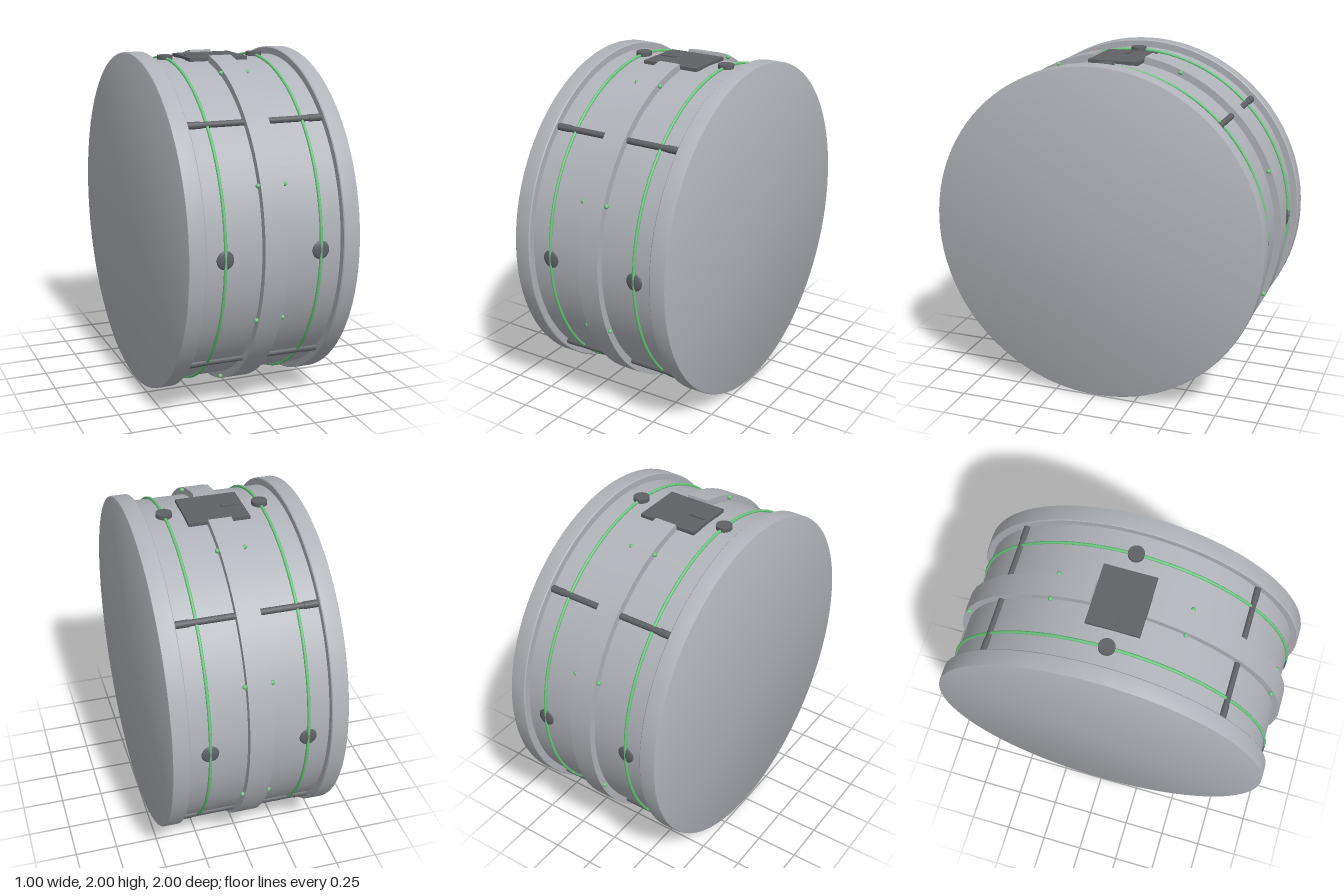
import * as THREE from 'three';
import { toCreasedNormals } from 'three/addons/utils/BufferGeometryUtils.js';

export function createModel() {
  const model = new THREE.Group();
  model.name = 'drumCase';
  const mat = (name, color) => {
    const m = new THREE.MeshStandardMaterial({ color });
    m.name = name;
    return m;
  };
  const grey = mat('shellGrey', 0xb0b3b9);
  const dark = mat('fittingDark', 0x5f6165);
  const green = mat('trimGreen', 0x68c87c);

  const add = (name, geo, material, x = 0, y = 0, z = 0) => {
    const mesh = new THREE.Mesh(geo, material);
    mesh.name = name;
    mesh.position.set(x, y, z);
    model.add(mesh);
    return mesh;
  };
  const CY = 1; // height of the drum axis, which runs along x
  const R = 0.957; // shell radius

  // Shell with two raised rims and closed ends
  const profile = [
    [0, -0.5], [0.992, -0.5], [0.998, -0.497], [1, -0.49], [1, -0.405], [0.995, -0.4], [R, -0.4],
    [R, 0.4], [0.995, 0.4], [1, 0.405], [1, 0.49], [0.998, 0.497], [0.992, 0.5], [0, 0.5],
  ].map(([r, h]) => new THREE.Vector2(r, h));
  const shell = toCreasedNormals(new THREE.LatheGeometry(profile, 96), 0.6);
  shell.rotateZ(-Math.PI / 2);
  add('shell', shell, grey, 0, CY, 0);

  // Middle band in two halves, open at the top and bottom
  const a = Math.PI / 2 - Math.asin(0.158 / 0.998);
  const arc = new THREE.Shape();
  arc.absarc(0, 0, 0.998, -a, a, false);
  arc.absarc(0, 0, 0.94, a, -a, true);
  arc.closePath();
  for (const side of [0, 1]) {
    const band = new THREE.ExtrudeGeometry(arc, { depth: 0.134, bevelEnabled: false, curveSegments: 56 });
    band.translate(0, 0, -0.067);
    band.rotateY(Math.PI / 2 + side * Math.PI);
    add(side ? 'bandFront' : 'bandBack', toCreasedNormals(band, 0.5), grey, 0, CY, 0);
  }

  // Cross rods at the diagonals, with slightly thicker end sleeves
  for (let i = 0; i < 4; i++) {
    const t = Math.PI / 4 + (i * Math.PI) / 2;
    const y = CY + Math.sin(t) * 0.96, z = Math.cos(t) * 0.96;
    const rod = new THREE.CylinderGeometry(0.018, 0.018, 0.8, 20).rotateZ(Math.PI / 2);
    add('crossRod', rod, dark, 0, y, z);
    for (const s of [-1, 1]) {
      const sleeve = new THREE.CylinderGeometry(0.021, 0.021, 0.08, 20).rotateZ(Math.PI / 2);
      add('rodSleeve', sleeve, dark, s * 0.36, y, z);
    }
  }

  for (const s of [-1, 1]) {
    // Trim rings
    const ring = new THREE.TorusGeometry(0.962, 0.009, 10, 128).rotateY(Math.PI / 2);
    add('trimRing', ring, green, s * 0.28, CY, 0);
    // Flat knobs above and below, domed knobs front and back
    for (const d of [-1, 1]) {
      add('flatKnob', new THREE.CylinderGeometry(0.046, 0.046, 0.04, 28), dark, s * 0.28, CY + d * 0.96, 0);
      const dome = new THREE.SphereGeometry(0.05, 28, 16).scale(1, 1.04, 0.26);
      add('domedKnob', dome, dark, s * 0.28, CY, d * R);
    }
    // Studs beside the band
    for (let i = 0; i < 8; i++) {
      const t = Math.PI / 8 + (i * Math.PI) / 4;
      add('stud', new THREE.SphereGeometry(0.013, 14, 10), green,
        s * 0.077, CY + Math.sin(t) * 0.985, Math.cos(t) * 0.985);
    }
  }

  // Top plate with its small slide
  add('topPlate', new THREE.BoxGeometry(0.355, 0.02, 0.305), dark, -0.002, 1.962, 0);
  add('slide', new THREE.BoxGeometry(0.1, 0.009, 0.026), dark, -0.105, 1.975, 0);

  // Bottom vent plate with slats
  add('ventPlate', new THREE.BoxGeometry(0.29, 0.02, 0.22), dark, -0.01, 0.042, 0);
  for (let i = 0; i < 6; i++) {
    add('ventSlat', new THREE.BoxGeometry(0.28, 0.01, 0.02), dark, -0.01, 0.029, -0.0925 + i * 0.037);
  }
  return model;
}
